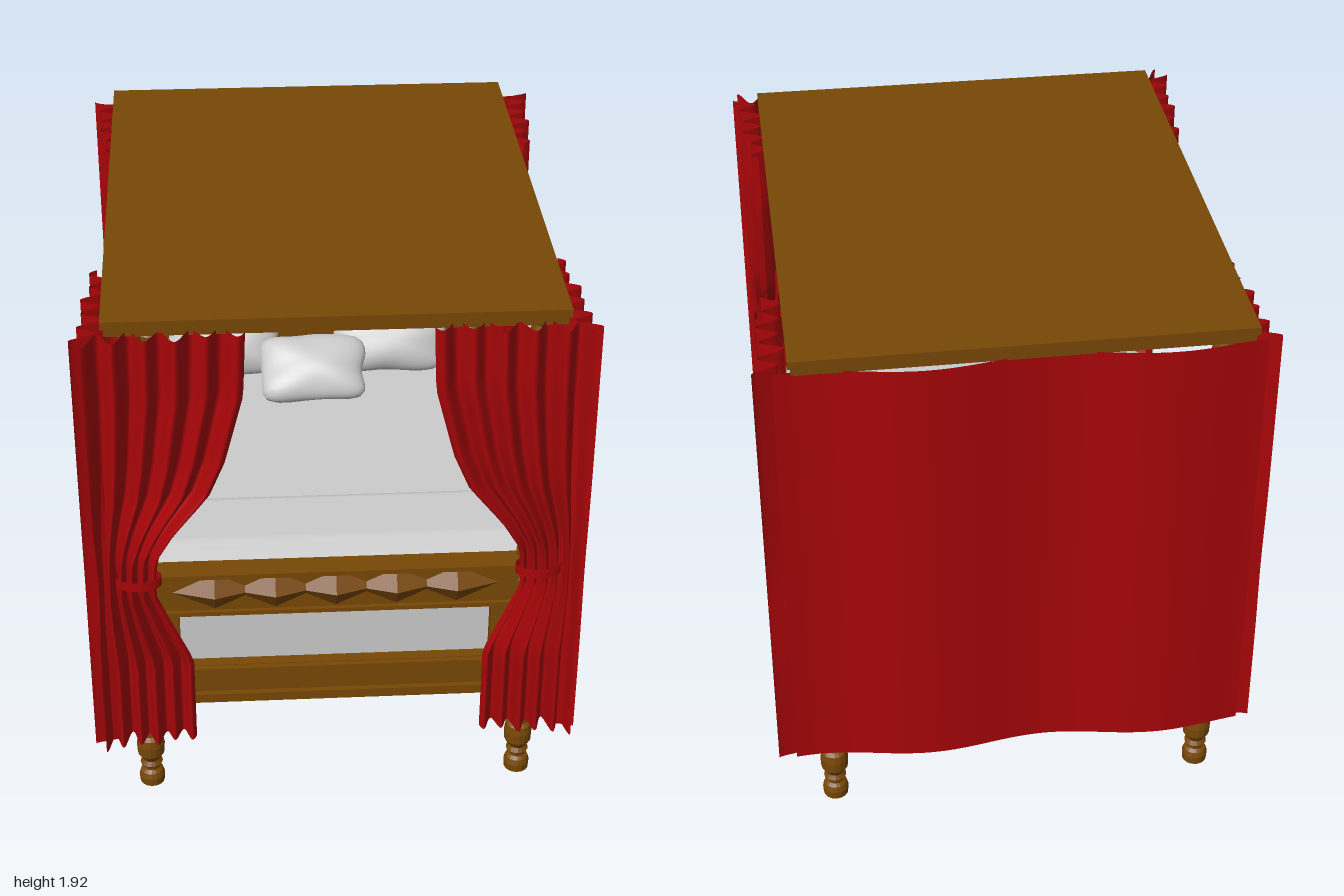
import * as THREE from 'three';
import { RoundedBoxGeometry } from 'three/addons/geometries/RoundedBoxGeometry.js';

const wood = new THREE.MeshStandardMaterial({ color: 0x784705 });
const red = new THREE.MeshStandardMaterial({ color: 0xa80508, side: THREE.DoubleSide });
const linen = new THREE.MeshStandardMaterial({ color: 0xcccccc, side: THREE.DoubleSide });

function add(parent, name, geo, mat, x = 0, y = 0, z = 0) {
  const m = new THREE.Mesh(geo, mat);
  m.name = name;
  m.position.set(x, y, z);
  parent.add(m);
  return m;
}

// Box given by its lower and upper limits
function box(parent, name, mat, [x0, x1], [y0, y1], [z0, z1]) {
  return add(parent, name, new THREE.BoxGeometry(x1 - x0, y1 - y0, z1 - z0), mat,
    (x0 + x1) / 2, (y0 + y1) / 2, (z0 + z1) / 2);
}

// Smooth surface from fn(u, v) -> [x, y, z], u and v in 0..1
function sheet(fn, nu, nv) {
  const g = new THREE.PlaneGeometry(1, 1, nu, nv);
  const p = g.attributes.position;
  for (let i = 0; i < p.count; i++) p.setXYZ(i, ...fn(p.getX(i) + 0.5, p.getY(i) + 0.5));
  g.computeVertexNormals();
  return g;
}

// Interpolated lookup in a list of [y, value], y rising
function lookup(list, y) {
  let i = 1;
  while (i < list.length - 1 && y > list[i][0]) i++;
  const [a, b] = [list[i - 1], list[i]];
  const t = THREE.MathUtils.clamp((y - a[0]) / (b[0] - a[0]), 0, 1);
  return THREE.MathUtils.lerp(a[1], b[1], t);
}

// Pleated curtain tied back to the corner; place(u, y, out) puts it on a side of the bed
function curtainGeometry(outer, inner, out, place) {
  return sheet((t, v) => {
    const y = 0.264 + 1.616 * v;
    const pinch = Math.exp(-(((y - 0.95) / 0.2) ** 2));
    const u = THREE.MathUtils.lerp(outer - 0.01 * pinch, lookup(inner, y), t);
    const fold = Math.cos(t * Math.PI * 10.5) + 0.3 * Math.sin(t * Math.PI * 4 + 1);
    return place(u, y, out - 0.03 * t + fold * (0.026 + 0.015 * (1 - t) - 0.008 * pinch * t));
  }, 66, 40);
}

// Cross-section of cloth draped over the bed
function drapePoints(w, top, r, left, right) {
  const p = new THREE.Path();
  p.moveTo(-w, left);
  p.lineTo(-w, top - r);
  p.absarc(-w + r, top - r, r, Math.PI, Math.PI / 2, true);
  p.lineTo(w - r, top);
  p.absarc(w - r, top - r, r, Math.PI / 2, 0, true);
  p.lineTo(w, right);
  return p.getSpacedPoints(100);
}

// Soft pillow: a sphere pushed towards a square outline
function pillowGeometry(w, h, d, seed) {
  const g = new THREE.SphereGeometry(1, 36, 24);
  const p = g.attributes.position;
  for (let i = 0; i < p.count; i++) {
    const x = p.getX(i), y = p.getY(i), z = p.getZ(i);
    const k = Math.hypot(x, y) / (Math.pow(x ** 6 + y ** 6, 1 / 6) || 1);
    const dent = 1 + 0.05 * Math.sin(4 * x + seed) * Math.cos(5 * y + seed);
    p.setXYZ(i, x * k * w * dent, y * k * h * dent, z * d * dent);
  }
  g.computeVertexNormals();
  return g;
}

// Turned post: foot, block and a beaded shaft
function postGeometry() {
  const pts = [[0, 0], [0.044, 0], [0.046, 0.03], [0.04, 0.05], [0.028, 0.06], [0.03, 0.075],
    [0.04, 0.085], [0.03, 0.1], [0.048, 0.13], [0.05, 0.17], [0.045, 0.2], [0.03, 0.21],
    [0.028, 0.235], [0.042, 0.25], [0.045, 0.27], [0.045, 0.32], [0.03, 0.34], [0.045, 0.38],
    [0.045, 0.47], [0.03, 0.5], [0.045, 0.53], [0.045, 0.72]];
  for (let y = 0.74; y < 1.8; y += 0.06) pts.push([0.026, y], [0.042, y + 0.02], [0.042, y + 0.04]);
  pts.push([0.03, 1.84], [0.045, 1.87], [0, 1.87]);
  const g = new THREE.LatheGeometry(pts.map(([r, y]) => new THREE.Vector2(r, y)), 16).toNonIndexed();
  g.computeVertexNormals();
  return g;
}

function headboardShape() {
  const s = new THREE.Shape();
  s.moveTo(-0.63, 0.36);
  s.lineTo(0.63, 0.36);
  s.lineTo(0.63, 1.29);
  s.lineTo(-0.63, 1.29);
  return s;
}

function crestShape() {
  const s = new THREE.Shape();
  s.moveTo(-0.2, 1.29);
  s.lineTo(0.2, 1.29);
  s.lineTo(0.19, 1.31);
  s.bezierCurveTo(0.09, 1.345, 0.04, 1.37, 0, 1.41);
  s.bezierCurveTo(-0.04, 1.37, -0.09, 1.345, -0.19, 1.31);
  return s;
}

export function createModel() {
  const bed = new THREE.Group();
  bed.name = 'fourPosterBed';
  const frame = new THREE.Group();
  frame.name = 'frame';
  frame.position.x = -0.006;
  bed.add(frame);

  // Posts and canopy
  const post = postGeometry();
  for (const x of [-0.662, 0.662]) for (const z of [0.827, -0.882]) add(frame, 'post', post, wood, x, 0, z);
  box(frame, 'canopyTop', wood, [-0.75, 0.746], [1.895, 1.922], [-0.977, 0.902]);
  box(frame, 'canopyMoulding', wood, [-0.74, 0.736], [1.865, 1.895], [-0.967, 0.892]);

  // Headboard with ogee crest
  const panel = new THREE.ExtrudeGeometry(headboardShape(), { depth: 0.05, bevelEnabled: false });
  add(frame, 'headboard', panel, wood, 0, 0, -0.91);
  const crest = new THREE.ExtrudeGeometry(crestShape(), { depth: 0.06, bevelEnabled: false, curveSegments: 12 });
  add(frame, 'headboardCrest', crest, wood, 0, 0, -0.915);
  box(frame, 'headboardCornice', wood, [-0.64, 0.64], [1.285, 1.31], [-0.925, -0.835]);
  box(frame, 'headboardMoulding', wood, [-0.635, 0.635], [1.262, 1.285], [-0.918, -0.845]);

  // Footboard: carved top rail, lower rail and stiles
  box(frame, 'footTopRail', wood, [-0.64, 0.64], [0.75, 0.91], [0.8, 0.845]);
  box(frame, 'footTopCap', wood, [-0.64, 0.64], [0.908, 0.925], [0.79, 0.88]);
  box(frame, 'footTopLip', wood, [-0.64, 0.64], [0.742, 0.758], [0.795, 0.86]);
  const diamond = new THREE.ConeGeometry(1, 1, 4).toNonIndexed();
  diamond.rotateX(Math.PI / 2);
  diamond.scale(0.15, 0.075, 0.05);
  diamond.computeVertexNormals();
  for (let i = -2; i <= 2; i++) add(frame, 'carvedDiamond', diamond, wood, i * 0.208, 0.835, 0.868);
  box(frame, 'footLowerRail', wood, [-0.64, 0.64], [0.365, 0.515], [0.8, 0.84]);
  for (const y of [0.378, 0.49]) box(frame, 'footRailMoulding', wood, [-0.64, 0.64], [y - 0.013, y + 0.022], [0.8, 0.86]);
  for (const s of [-1, 1]) {
    const x = s * 0.585;
    box(frame, 'footStile', wood, [x - 0.045, x + 0.045], [0.5, 0.76], [0.8, 0.84]);
  }
  box(frame, 'bedBase', wood, [-0.685, 0.685], [0.365, 0.4], [-0.88, 0.82]);

  // Mattress, bedspread and folded throw
  add(bed, 'mattress', new RoundedBoxGeometry(1.38, 0.39, 1.575, 4, 0.05), linen, 0, 0.588, -0.017);
  const cover = drapePoints(0.7, 0.79, 0.06, 0.185, 0.185);
  add(bed, 'bedspread', sheet((u, v) => {
    const p = cover[Math.round(u * 100)];
    return [p.x, p.y, -0.81 + 1.59 * v];
  }, 100, 6), linen);
  const throwLayers = [
    ['throwLower', 0.73, 0.845, 0.18, 0.32, 0.255, 0.72],
    ['throwUpper', 0.745, 0.858, 0.26, 0.4, 0.27, 0.59],
  ];
  for (const [name, w, top, left, right, z0, z1] of throwLayers) {
    const pts = drapePoints(w, top, 0.09, left, right);
    add(bed, name, sheet((u, v) => {
      const p = pts[Math.round(u * 100)];
      const z = THREE.MathUtils.lerp(z0, z1, v);
      const hang = THREE.MathUtils.clamp((0.75 - p.y) / 0.4, 0, 1);
      const slope = 0.05 * Math.max(0, (z - 0.56) / 0.16) + 0.04 * Math.max(0, (0.3 - z) / 0.04);
      const wave = 0.01 * Math.sin(z * 22) * hang;
      const flare = p.x > 0 ? 0.035 * hang : 0;
      return [p.x + wave + flare, p.y - slope * (1 - hang) + 0.05 * hang * (1 - v) ** 3, z - 0.04 * hang * v];
    }, 100, 20), linen);
  }

  // Pillows
  const rear = [[-0.36, 0.3], [0.315, 2.1]];
  for (const [x, seed] of rear) {
    add(bed, 'rearPillow', pillowGeometry(0.22, 0.125, 0.08, seed), linen, x, 0.918, -0.735).rotation.x = -0.5;
  }
  add(bed, 'frontPillow', pillowGeometry(0.205, 0.14, 0.085, 4), linen, -0.01, 0.892, -0.57).rotation.x = -1.0;

  // Curtains: one pair at the foot, two pairs along the sides
  const frontInner = [[0.27, 0.5], [0.6, 0.5], [0.76, 0.57], [0.88, 0.62], [1.02, 0.61], [1.12, 0.55], [1.27, 0.43], [1.4, 0.375], [1.65, 0.31], [1.88, 0.3]];
  const sideInner = [[0.27, 0.665], [0.6, 0.68], [0.76, 0.75], [0.9, 0.775], [1.02, 0.76], [1.13, 0.66], [1.24, 0.57], [1.4, 0.525], [1.66, 0.46], [1.88, 0.46]];
  const backInner = sideInner.map(([y, z]) => [y, z + 0.025]);
  const band = new THREE.CylinderGeometry(1, 1, 0.035, 24, 1, true);
  const tie = (x, z, rx, rz) => add(bed, 'curtainTie', band, red, x, 0.948, z).scale.set(rx, 1, rz);
  for (const s of [-1, 1]) {
    const front = 0.792 - 0.01 * s, back = 0.79 + 0.01 * s;
    add(bed, 'footCurtain', curtainGeometry(0.815, frontInner, 0.938, (u, y, o) => [s * u, y, o]), red);
    add(bed, 'sideFrontCurtain', curtainGeometry(0.94, sideInner, front, (u, y, o) => [s * o, y, u]), red);
    add(bed, 'sideBackCurtain', curtainGeometry(0.965, backInner, back, (u, y, o) => [s * o, y, -u]), red);
    tie(s * 0.675, 0.922, 0.077, 0.045);
    tie(s * (front - 0.015), 0.84, 0.045, 0.077);
    tie(s * (back - 0.015), -0.87, 0.045, 0.08);
  }

  // Wavy curtain across the head end
  add(bed, 'backCurtain', sheet((u, v) => {
    const x = -0.79 + 1.58 * u;
    return [x, 0.255 + 1.615 * v, -0.977 - 0.023 * Math.sin((x - 0.11) * Math.PI * 2.5)];
  }, 60, 4), red);
  return bed;
}
